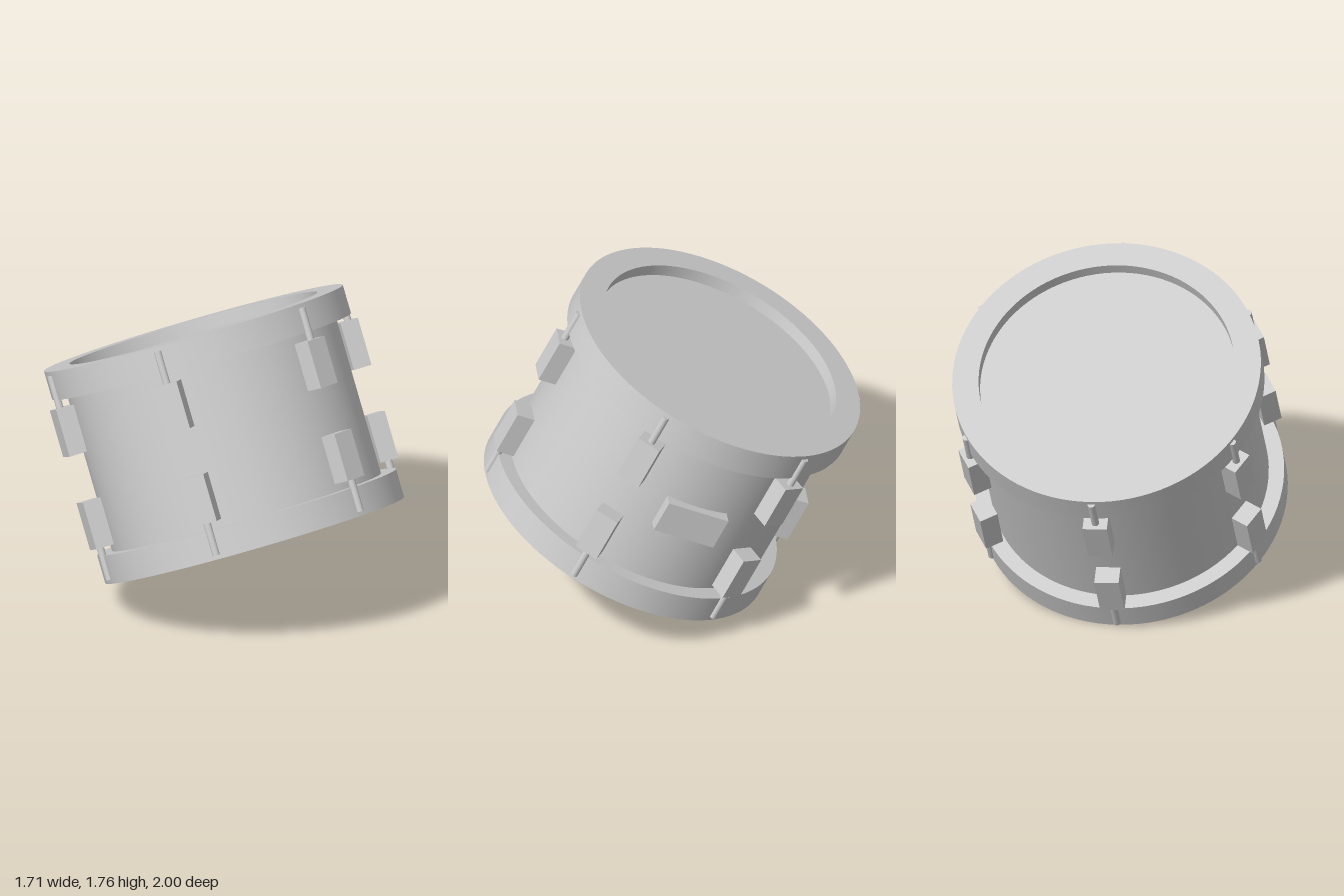
import * as THREE from 'three';
import { toCreasedNormals } from 'three/addons/utils/BufferGeometryUtils.js';

const HALF = 0.583;      // half the drum height along its axis
const RIM_H = 0.155;     // hoop height
const RIM_R = 0.82, HOLE_R = 0.68, SHELL_R = 0.738;
const RECESS = 0.068;    // depth of the head below the hoop edge

export function createModel() {
  const model = new THREE.Group();
  model.name = 'drum';
  const material = new THREE.MeshStandardMaterial({ color: 0xcccccc });

  const add = (parent, name, geometry, x = 0, y = 0, z = 0) => {
    const mesh = new THREE.Mesh(geometry, material);
    mesh.name = name;
    mesh.position.set(x, y, z);
    parent.add(mesh);
    return mesh;
  };

  // Shell, whose closed ends are the recessed drum heads
  add(model, 'shellAndHeads', new THREE.CylinderGeometry(SHELL_R, SHELL_R, 2 * (HALF - RECESS), 96));

  // Hoops: rectangular rings with sharp edges
  const h = RIM_H / 2;
  const profile = [[HOLE_R, -h], [RIM_R, -h], [RIM_R, h], [HOLE_R, h], [HOLE_R, -h]]
    .map(([r, y]) => new THREE.Vector2(r, y));
  const hoop = toCreasedNormals(new THREE.LatheGeometry(profile, 96), 0.6);
  add(model, 'topHoop', hoop, 0, HALF - h, 0);
  add(model, 'bottomHoop', hoop, 0, h - HALF, 0);

  // Six pairs of lugs with tension rods reaching over the hoops
  const lugBox = new THREE.BoxGeometry(0.13, 0.257, 0.1);
  const rod = new THREE.CylinderGeometry(0.02, 0.02, 0.235, 16);
  for (let i = 0; i < 6; i++) {
    for (const side of [1, -1]) {
      const lug = new THREE.Group();
      lug.name = side > 0 ? 'upperLug' : 'lowerLug';
      add(lug, 'lugBox', lugBox, 0, side * 0.255, 0.81);
      add(lug, 'tensionRod', rod, 0, side * 0.4425, 0.82);
      lug.rotation.y = i * Math.PI / 3;
      model.add(lug);
    }
  }

  // Mounting block on the left side of the shell
  add(model, 'mountBlock', new THREE.BoxGeometry(0.1, 0.187, 0.35), 0.735, 0, 0);

  // Tilt the whole drum back and slightly sideways
  const axis = new THREE.Vector3(0.067, 0.901, -0.429).normalize();
  model.quaternion.setFromUnitVectors(new THREE.Vector3(0, 1, 0), axis);
  model.position.set(0, 0.885, 0);

  const root = new THREE.Group();
  root.name = 'tiltedDrum';
  root.add(model);
  return root;
}
